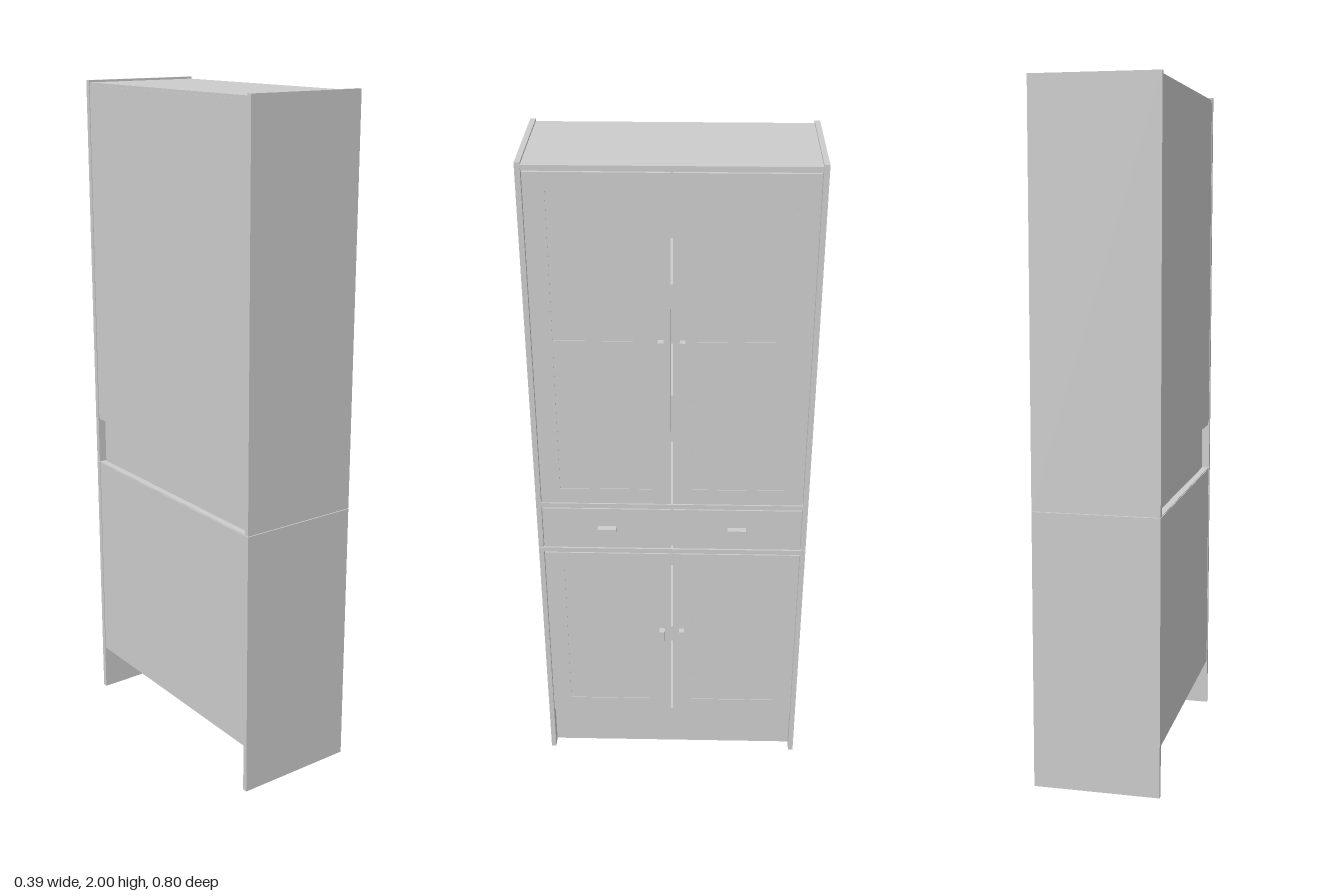
import * as THREE from 'three';

const material = new THREE.MeshStandardMaterial({ color: 0xcccccc });
const BACK = -0.194, FRONT = 0.175, T = 0.015, INNER = 0.385;

// Box given by its limits on each axis
function slab(parent, name, x0, x1, y0, y1, z0, z1) {
  const mesh = new THREE.Mesh(new THREE.BoxGeometry(x1 - x0, y1 - y0, z1 - z0), material);
  mesh.position.set((x0 + x1) / 2, (y0 + y1) / 2, (z0 + z1) / 2);
  mesh.name = name;
  parent.add(mesh);
  return mesh;
}

// Same, with z limits mirrored to the given side
function sided(parent, name, side, x0, x1, y0, y1, z0, z1) {
  return slab(parent, name, x0, x1, y0, y1, side > 0 ? z0 : -z1, side > 0 ? z1 : -z0);
}

// Framed door: two stiles, rails and a nearly flush panel
function door(parent, name, side, y0, y1, railTops, handleY) {
  const g = new THREE.Group();
  g.name = name;
  const x1 = FRONT - 0.001, x0 = x1 - T, zIn = 0.003, zOut = INNER - 0.002;
  sided(g, 'innerStile', side, x0, x1, y0, y1, zIn, 0.06);
  sided(g, 'outerStile', side, x0, x1, y0, y1, 0.326, zOut);
  for (const top of railTops) sided(g, 'rail', side, x0, x1, top - 0.05, top, 0.06, 0.326);
  sided(g, 'doorPanel', side, x0 + 0.003, x1 - 0.002, y0 + 0.01, y1 - 0.01, 0.058, 0.328);
  sided(g, 'doorHandle', side, x1, 0.194, handleY - 0.025, handleY + 0.025, 0.022, 0.038);
  parent.add(g);
}

export function createModel() {
  const model = new THREE.Group();
  model.name = 'cabinet';

  // Side panels, split between lower and upper units
  for (const side of [1, -1]) {
    sided(model, 'lowerSide', side, BACK, FRONT, 0, 0.808, INNER, 0.4);
    sided(model, 'upperSide', side, BACK, FRONT, 0.81, 2, INNER, 0.4);
  }

  // Horizontal boards: name, bottom, top, front edge
  const boards = [
    ['bottomBoard', 0.145, 0.16, 0.158],
    ['lowerTop', 0.793, 0.808, 0.174],
    ['middleBoard', 0.953, 0.968, 0.174],
    ['topBoard', 1.979, 1.994, 0.174],
    ['lowerShelf', 0.47, 0.485, 0.14],
    ['upperShelf', 1.3, 1.315, 0.14],
    ['upperShelf', 1.64, 1.655, 0.14],
  ];
  for (const [name, y0, y1, front] of boards) {
    slab(model, name, BACK + 0.004, front, y0, y1, -INNER, INNER);
  }

  // Centre divider behind the drawer gap, and the recessed plinth
  slab(model, 'drawerDivider', BACK + 0.03, 0.155, 0.808, 0.953, -T / 2, T / 2);
  slab(model, 'plinth', 0.122, 0.137, 0, 0.145, -INNER, INNER);

  // Back panels; the one behind the drawers is set in
  slab(model, 'lowerBack', BACK + 0.002, BACK + 0.008, 0.145, 0.806, -INNER, INNER);
  slab(model, 'drawerBack', BACK + 0.024, BACK + 0.03, 0.808, 0.953, -INNER, INNER);
  slab(model, 'upperBack', BACK + 0.002, BACK + 0.008, 0.968, 1.985, -INNER, INNER);

  // Doors and drawers, mirrored
  for (const side of [1, -1]) {
    door(model, 'lowerDoor', side, 0.165, 0.79, [0.215, 0.79], 0.48);
    door(model, 'upperDoor', side, 0.971, 1.976, [1.021, 1.5, 1.976], 1.48);
    sided(model, 'drawerFront', side, FRONT - 0.016, FRONT - 0.001, 0.812, 0.95, 0.003, INNER - 0.002);
    sided(model, 'drawerHandle', side, FRONT - 0.001, 0.194, 0.875, 0.889, 0.165, 0.22);
  }
  return model;
}
